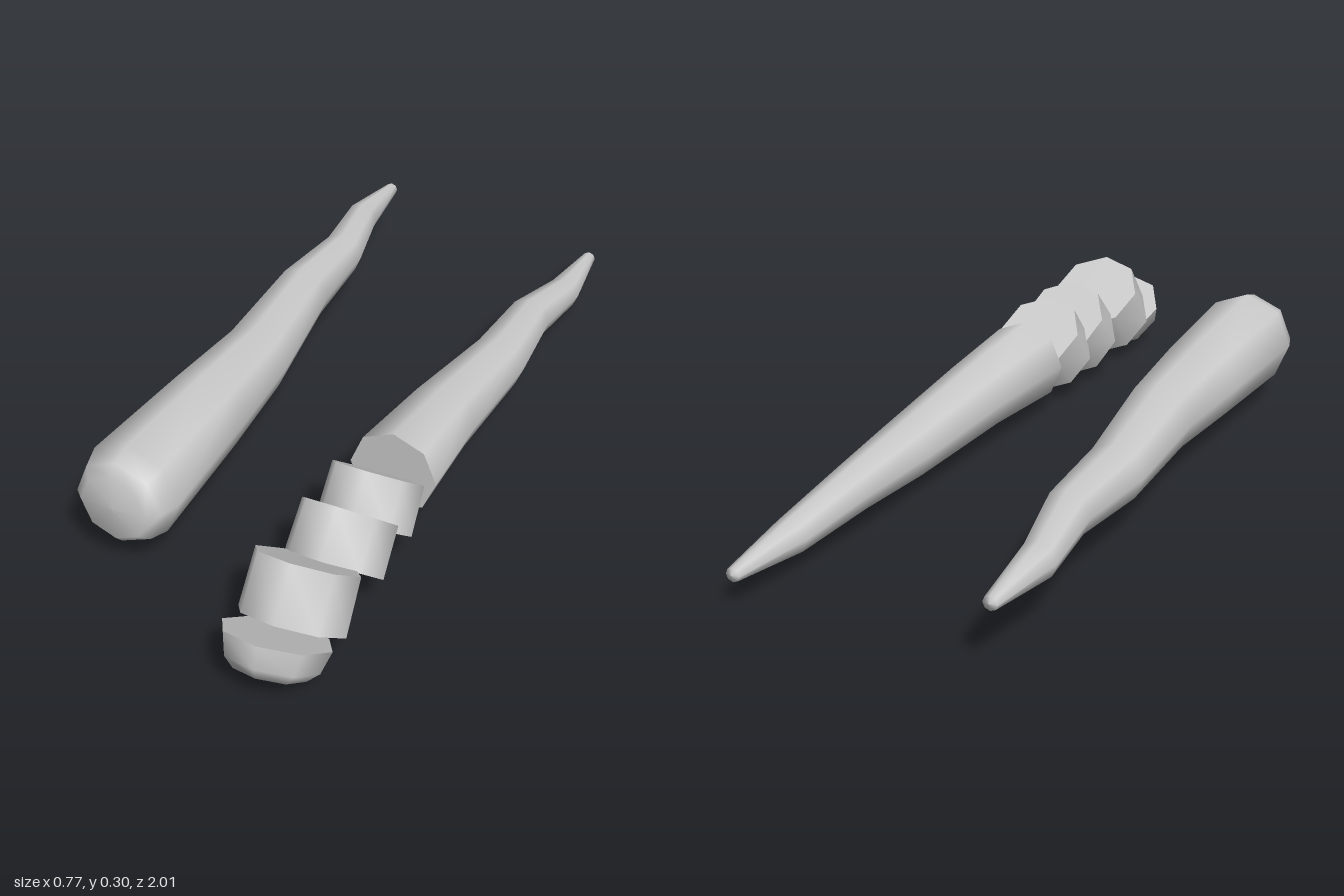
import * as THREE from 'three';

const SIDES = 8;
const material = new THREE.MeshStandardMaterial({ color: 0xcccccc });

// Smooth octagonal skin through rings [x, y, z, radius], listed front to back,
// with hard-edged flat caps wherever the end ring is open.
function loft(name, rings) {
  const pos = [], idx = [];
  const addRing = ([x, y, z, r]) => {
    const start = pos.length / 3;
    for (let j = 0; j < SIDES; j++) {
      const a = (j / SIDES) * Math.PI * 2;
      pos.push(x + r * Math.sin(a), y + r * Math.cos(a), z);
    }
    return start;
  };
  const starts = rings.map(addRing);
  for (let i = 0; i < rings.length - 1; i++) {
    for (let j = 0; j < SIDES; j++) {
      const k = (j + 1) % SIDES, a = starts[i], b = starts[i + 1];
      if (rings[i][3] > 0) idx.push(a + j, a + k, b + j);
      if (rings[i + 1][3] > 0) idx.push(a + k, b + k, b + j);
      else if (rings[i][3] === 0) continue;
    }
  }
  const cap = (ring, front) => {
    if (ring[3] === 0) return;
    const s = addRing(ring);
    for (let j = 1; j < SIDES - 1; j++) {
      if (front) idx.push(s, s + j + 1, s + j);
      else idx.push(s, s + j, s + j + 1);
    }
  };
  cap(rings[0], true);
  cap(rings[rings.length - 1], false);

  const geo = new THREE.BufferGeometry();
  geo.setAttribute('position', new THREE.Float32BufferAttribute(pos, 3));
  geo.setIndex(idx);
  geo.computeVertexNormals();
  const mesh = new THREE.Mesh(geo, material);
  mesh.name = name;
  return mesh;
}

export function createModel() {
  const group = new THREE.Group();
  group.name = 'carrots';

  // Whole carrot: rounded crown at the front, wavy taper to the tip
  group.add(loft('wholeCarrot', [
    [-0.256, 0.159, 0.735, 0],
    [-0.256, 0.159, 0.73, 0.088],
    [-0.256, 0.159, 0.705, 0.114],
    [-0.256, 0.159, 0.65, 0.131],
    [-0.257, 0.159, 0.29, 0.113],
    [-0.26, 0.158, 0.03, 0.095],
    [-0.299, 0.159, -0.32, 0.077],
    [-0.295, 0.16, -0.56, 0.06],
    [-0.336, 0.157, -0.78, 0.046],
    [-0.333, 0.156, -0.985, 0.018],
    [-0.333, 0.156, -0.99, 0],
  ]));

  // Cut carrot: remaining root with a flat cut face
  group.add(loft('cutRoot', [
    [0.254, 0.13, 0.287, 0.113],
    [0.264, 0.124, 0.02, 0.095],
    [0.283, 0.096, -0.32, 0.077],
    [0.28, 0.096, -0.56, 0.06],
    [0.304, 0.066, -0.78, 0.046],
    [0.307, 0.069, -0.995, 0.018],
    [0.307, 0.069, -1, 0],
  ]));

  // Leaning slices: y, z, tilt in degrees, thickness, front and back radius
  const place = (mesh, y, z, tilt) => {
    mesh.position.set(0.254, y, z);
    mesh.rotation.set(THREE.MathUtils.degToRad(tilt), 0, -0.09);
    group.add(mesh);
  };
  [
    [0.139, 0.41, 52, 0.122, 0.119, 0.116],
    [0.134, 0.567, 48, 0.127, 0.122, 0.119],
    [0.138, 0.777, 54, 0.138, 0.129, 0.126],
  ].forEach(([y, z, tilt, t, rf, rb], i) => {
    place(loft('slice' + (i + 1), [[0, 0, t / 2, rf], [0, 0, -t / 2, rb]]), y, z, tilt);
  });

  // Crown end, lying with its cut face up
  place(loft('crownSlice', [
    [0, 0, 0.085, 0],
    [0, 0, 0.08, 0.088],
    [0, 0, 0.055, 0.114],
    [0, 0, 0, 0.13],
  ]), 0.1, 0.887, 60);

  return group;
}
